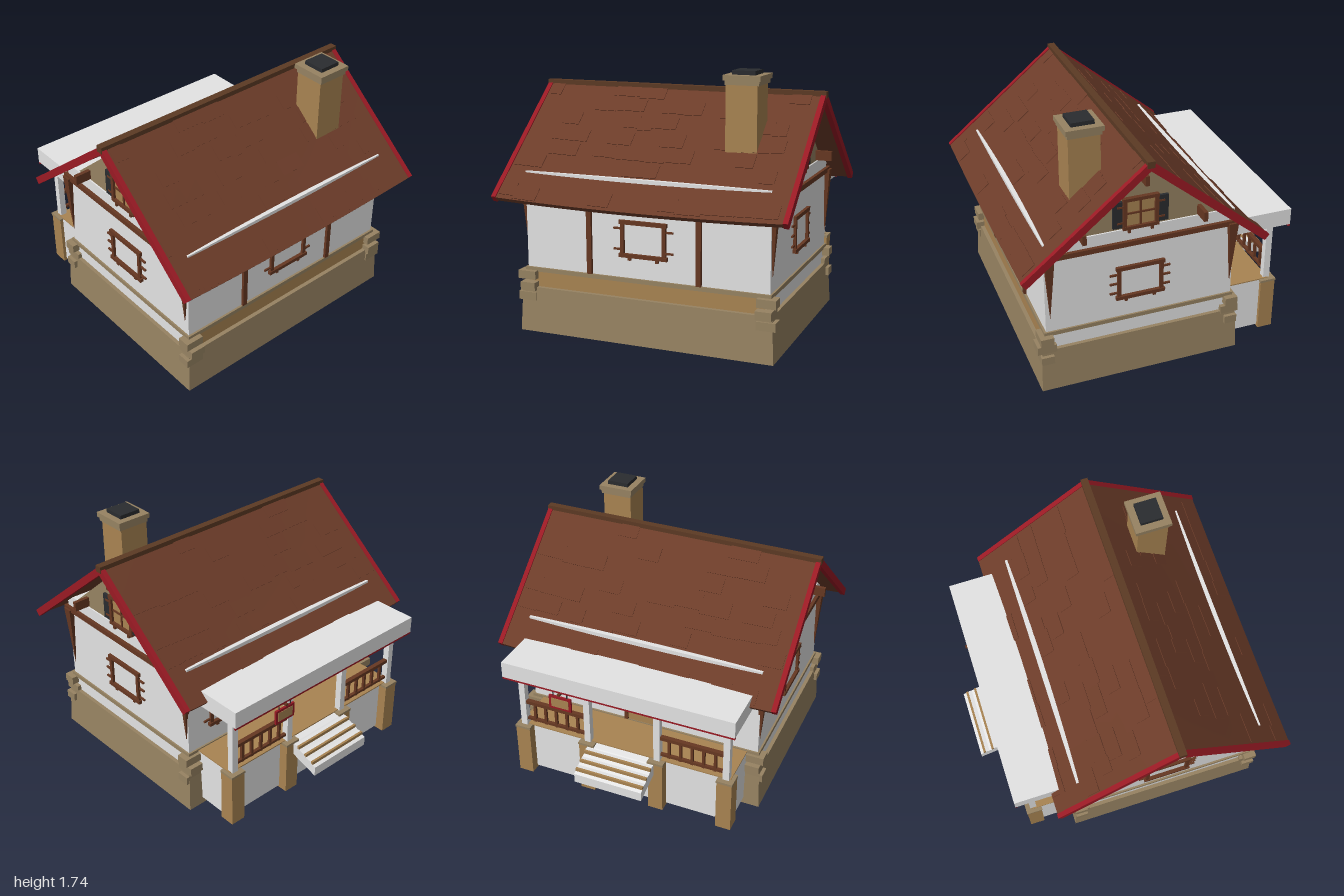
import * as THREE from 'three';
import { mergeGeometries } from 'three/addons/utils/BufferGeometryUtils.js';

const material = (name, color) => {
  const m = new THREE.MeshStandardMaterial({ color });
  m.name = name;
  return m;
};

export function createModel() {
  const plaster = material('plaster', 0xe4e4e4);
  const stone = material('stone', 0x978362);
  const ochre = material('ochre', 0xa98452);
  const timber = material('timber', 0x673822);
  const shingle = material('shingle', 0x6c3c29);
  const ridgeWood = material('ridgeWood', 0x5c3a24);
  const red = material('red', 0x9a1a24);
  const black = material('black', 0x2a2c2f);

  const house = new THREE.Group();
  house.name = 'house';

  const add = (parent, name, geometry, mat, x = 0, y = 0, z = 0) => {
    const mesh = new THREE.Mesh(geometry, mat);
    mesh.name = name;
    mesh.position.set(x, y, z);
    parent.add(mesh);
    return mesh;
  };
  // Box given by its minimum and maximum on each axis
  const box = (name, mat, x0, x1, y0, y1, z0, z1, parent = house) =>
    add(parent, name, new THREE.BoxGeometry(x1 - x0, y1 - y0, z1 - z0), mat,
      (x0 + x1) / 2, (y0 + y1) / 2, (z0 + z1) / 2);
  // Box centred on x, y and z
  const block = (name, mat, w, h, d, x, y, z, parent = house) =>
    add(parent, name, new THREE.BoxGeometry(w, h, d), mat, x, y, z);

  // Foundation, slightly wider at the ground
  const base = new THREE.BoxGeometry(1.71, 0.3, 1.33);
  const bp = base.attributes.position;
  for (let i = 0; i < bp.count; i++) {
    if (bp.getY(i) < 0) bp.setXYZ(i, bp.getX(i) * 1.018, bp.getY(i), bp.getZ(i) * 1.022);
  }
  base.computeVertexNormals();
  add(house, 'foundation', base, stone, 0, 0.15, 0.19);

  // Walls, plinth trim and front band
  box('walls', plaster, -0.83, 0.83, 0.3, 1.065, -0.445, 0.82);
  box('plinthTrim', stone, -0.842, 0.842, 0.4, 0.428, -0.457, 0.834);
  box('frontBand', ochre, -0.8, 0.8, 0.3, 0.4, 0.82, 0.828);

  // Corner stones
  for (const sx of [-1, 1]) {
    for (const [zc, sz] of [[0.825, 1], [-0.435, -1]]) {
      [0.38, 0.308, 0.238].forEach((y, i) => {
        const wide = i === 1;
        block('cornerStone', stone, wide ? 0.105 : 0.125, 0.055, wide ? 0.125 : 0.085,
          sx * (wide ? 0.805 : 0.818), y, zc - sz * (wide ? 0.003 : 0));
      });
    }
  }

  // Front posts and rafter tails under both eaves
  for (const x of [-0.375, 0.372]) box('frontPost', timber, x - 0.017, x + 0.017, 0.428, 0.92, 0.82, 0.838);
  for (const x of [-0.75, -0.45, -0.15, 0.2, 0.5, 0.75]) {
    box('rafterTail', timber, x - 0.013, x + 0.013, 0.87, 0.925, 0.82, 0.89);
    box('rafterTail', timber, x - 0.013, x + 0.013, 0.87, 0.925, -0.51, -0.445);
  }

  // Framed window facing +z, built about its own centre
  const addWindow = (name, x, y, z, turn, hingeRows) => {
    const g = new THREE.Group();
    g.name = name;
    for (const s of [-1, 1]) {
      block('windowJamb', timber, 0.024, 0.22, 0.024, s * 0.142, 0, 0, g);
      block('sillFoot', timber, 0.02, 0.03, 0.024, s * 0.095, -0.122, 0, g);
      for (const h of hingeRows) block('hinge', timber, 0.05, 0.012, 0.012, s * 0.178, h, 0, g);
    }
    block('windowHead', timber, 0.325, 0.026, 0.03, 0, 0.108, 0, g);
    block('windowSill', timber, 0.33, 0.024, 0.036, 0, -0.106, 0, g);
    g.position.set(x, y, z);
    g.rotation.y = turn;
    house.add(g);
  };
  addWindow('frontWindow', 0, 0.683, 0.826, 0, [0.065, -0.07]);
  for (const x of [-0.5, 0.5]) addWindow('porchWindow', x, 0.683, -0.451, Math.PI, [0.065, -0.07]);

  // Back door
  box('door', ochre, -0.1, 0.1, 0.428, 0.8, -0.453, -0.445);
  for (const s of [-1, 1]) block('doorJamb', timber, 0.025, 0.38, 0.024, s * 0.112, 0.62, -0.455);
  block('doorHead', timber, 0.25, 0.025, 0.024, 0, 0.81, -0.455);

  // Gable triangle, extruded along x
  const gableShape = new THREE.Shape([[-0.715, 1.06], [0.325, 1.06], [-0.19, 1.515]]
    .map(([a, b]) => new THREE.Vector2(a, b)));
  const gableGeo = new THREE.ExtrudeGeometry(gableShape, { depth: 0.04, bevelEnabled: false });
  gableGeo.rotateY(Math.PI / 2);

  for (const s of [-1, 1]) {
    const turn = s * Math.PI / 2;
    add(house, 'gable', gableGeo, stone, s > 0 ? 0.78 : -0.82);
    block('sideBeam', timber, 0.03, 0.034, 1.305, s * 0.838, 0.968, 0.185);
    addWindow('sideWindow', s * 0.836, 0.683, 0.195, turn, [0.065, 0, -0.07]);

    // Corner braces tapering downwards
    for (const z of [0.79, -0.43]) {
      const brace = new THREE.ConeGeometry(0.045, 0.45, 4).toNonIndexed();
      brace.rotateY(Math.PI / 4).rotateX(Math.PI).computeVertexNormals();
      add(house, 'cornerBrace', brace, timber, s * 0.835, 0.745, z);
    }
    // Purlin ends under the roof
    for (const [y, z] of [[1.43, 0.19], [1.105, 0.587], [1.105, -0.2]]) {
      block('purlinEnd', timber, 0.12, 0.065, 0.026, s * 0.87, y, z);
    }
    // Attic window with cross bars and shutters
    const attic = new THREE.Group();
    attic.name = 'atticWindow';
    block('atticPane', ochre, 0.2, 0.19, 0.008, 0, 0, 0, attic);
    for (const k of [-1, 1]) {
      block('atticJamb', timber, 0.024, 0.2, 0.03, k * 0.104, 0, 0.005, attic);
      block('atticRail', timber, 0.235, 0.022, 0.034, 0, k * 0.098, 0.005, attic);
      block('sillFoot', timber, 0.018, 0.025, 0.03, k * 0.075, -0.12, 0.005, attic);
      block('shutter', black, 0.062, 0.18, 0.018, k * 0.15, 0, 0.005, attic);
      for (const h of [-0.055, 0.055]) block('shutterHinge', timber, 0.04, 0.012, 0.006, k * 0.135, h, 0.016, attic);
    }
    block('verticalBar', timber, 0.012, 0.18, 0.014, 0, 0, 0.005, attic);
    block('crossBar', timber, 0.18, 0.012, 0.014, 0, 0, 0.005, attic);
    attic.position.set(s * 0.826, 1.175, 0.195);
    attic.rotation.y = turn;
    house.add(attic);
  }

  // Sagging roof: bends a slab (x, height off the slope, distance from the ridge) onto the slope
  const slab = (x0, x1, h0, h1, d0, d1, nx = 1, nd = 1) => {
    const g = new THREE.BoxGeometry(x1 - x0, h1 - h0, d1 - d0, nx, 1, nd);
    g.translate((x0 + x1) / 2, (h0 + h1) / 2, (d0 + d1) / 2);
    const p = g.attributes.position;
    for (let i = 0; i < p.count; i++) {
      const x = p.getX(i), h = p.getY(i), d = p.getZ(i);
      const sag = 0.021 * Math.max(0, 1 - x * x) * Math.min(1, d / 0.4);
      p.setXYZ(i, x, 1.578 - 0.82 * d - sag + h * 0.773, d + h * 0.634);
    }
    g.computeVertexNormals();
    return g;
  };
  let seed = 7;
  const random = () => (seed = (seed * 16807) % 2147483647) / 2147483647;
  for (const turn of [0, Math.PI]) {
    const side = new THREE.Group();
    side.name = 'roofSide';
    add(side, 'roofSlope', slab(-0.955, 0.955, -0.03, 0, 0, 0.806, 12, 6), shingle);
    // Raised shingles in loose courses
    const tiles = [];
    for (let row = 0; row < 8; row++) {
      if (row === 6) continue;
      for (let x = -0.94; x < 0.8;) {
        const w = 0.09 + 0.12 * random();
        const d = row * 0.1 + 0.02 * random();
        if (random() < 0.5) tiles.push(slab(x, Math.min(x + w, 0.94), -0.004, 0.004, d, d + 0.08));
        x += w;
      }
    }
    add(side, 'shingles', mergeGeometries(tiles), shingle);
    for (const s of [-1, 1]) {
      add(side, 'bargeBoard', slab(s * 0.967 - 0.016, s * 0.967 + 0.016, -0.042, 0.006, 0, 0.806), red);
    }
    side.position.z = 0.19;
    side.rotation.y = turn;
    house.add(side);
  }
  box('ridgeCap', ridgeWood, -0.987, 0.987, 1.545, 1.588, 0.166, 0.215);

  // Chimney
  const cx = 0.56, cz = 0.488;
  block('chimneyShaft', ochre, 0.205, 0.57, 0.205, cx - 0.005, 1.375, cz);
  block('chimneyCollar', stone, 0.22, 0.03, 0.22, cx, 1.665, cz);
  block('chimneyCap', stone, 0.243, 0.032, 0.243, cx, 1.694, cz);
  block('chimneyFlue', black, 0.15, 0.028, 0.15, cx, 1.722, cz);

  // Porch deck and roof slab
  box('porchBase', plaster, -0.76, 0.76, 0.045, 0.412, -0.74, -0.44);
  box('porchFloor', ochre, -0.76, 0.76, 0.412, 0.42, -0.76, -0.457);
  box('porchRoof', plaster, -0.81, 0.81, 0.845, 0.96, -0.865, -0.44);
  box('porchFascia', red, -0.81, 0.81, 0.832, 0.845, -0.865, -0.85);

  // Porch piers and posts
  for (const x of [-0.73, -0.25, 0.25, 0.73]) {
    box('porchPier', ochre, x - 0.052, x + 0.052, 0.03, 0.4, -0.803, -0.7);
    box('pierCap', stone, x - 0.056, x + 0.056, 0.4, 0.416, -0.807, -0.696);
    box('porchPost', plaster, x - 0.022, x + 0.022, 0.416, 0.845, -0.775, -0.73);
  }
  // Railings in the outer bays
  for (const s of [-1, 1]) {
    block('topRail', timber, 0.44, 0.024, 0.03, s * 0.49, 0.6, -0.752);
    block('bottomRail', timber, 0.44, 0.018, 0.022, s * 0.49, 0.465, -0.752);
    for (let i = 0; i < 5; i++) {
      block('baluster', timber, 0.018, 0.15, 0.018, s * (0.33 + i * 0.08), 0.525, -0.752);
    }
  }

  // Steps: sloping body with ochre nosings and pale treads
  const stepShape = new THREE.Shape([[0.74, 0.41], [0.8, 0.4], [0.87, 0.37], [0.935, 0.343], [1.0, 0.315], [1.0, 0.25], [0.74, 0.335]]
    .map(([a, b]) => new THREE.Vector2(a, b)));
  const stepGeo = new THREE.ExtrudeGeometry(stepShape, { depth: 0.48, bevelEnabled: false });
  stepGeo.rotateY(Math.PI / 2);
  add(house, 'steps', stepGeo, plaster, -0.24);
  for (const [y, z] of [[0.388, -0.845], [0.36, -0.908], [0.335, -0.97]]) {
    block('stepNosing', ochre, 0.48, 0.022, 0.016, 0, y, z);
    block('tread', plaster, 0.48, 0.012, 0.05, 0, y + 0.002, z + 0.033);
  }

  // Hanging sign and lantern
  block('signArm', timber, 0.02, 0.014, 0.19, 0.39, 0.825, -0.785);
  block('signBoard', red, 0.16, 0.1, 0.014, 0.39, 0.75, -0.858);
  for (const s of [-1, 1]) block('signFace', ochre, 0.125, 0.066, 0.004, 0.39, 0.75, -0.858 + s * 0.008);
  for (const x of [0.34, 0.44]) block('signHanger', black, 0.006, 0.05, 0.006, x, 0.822, -0.858);
  block('lanternChain', black, 0.008, 0.06, 0.008, 0, 0.815, -0.68);
  block('lanternGlass', ochre, 0.036, 0.05, 0.036, 0, 0.755, -0.68);
  for (const y of [0.784, 0.726]) block('lanternPlate', black, 0.05, 0.012, 0.05, 0, y, -0.68);

  return house;
}
